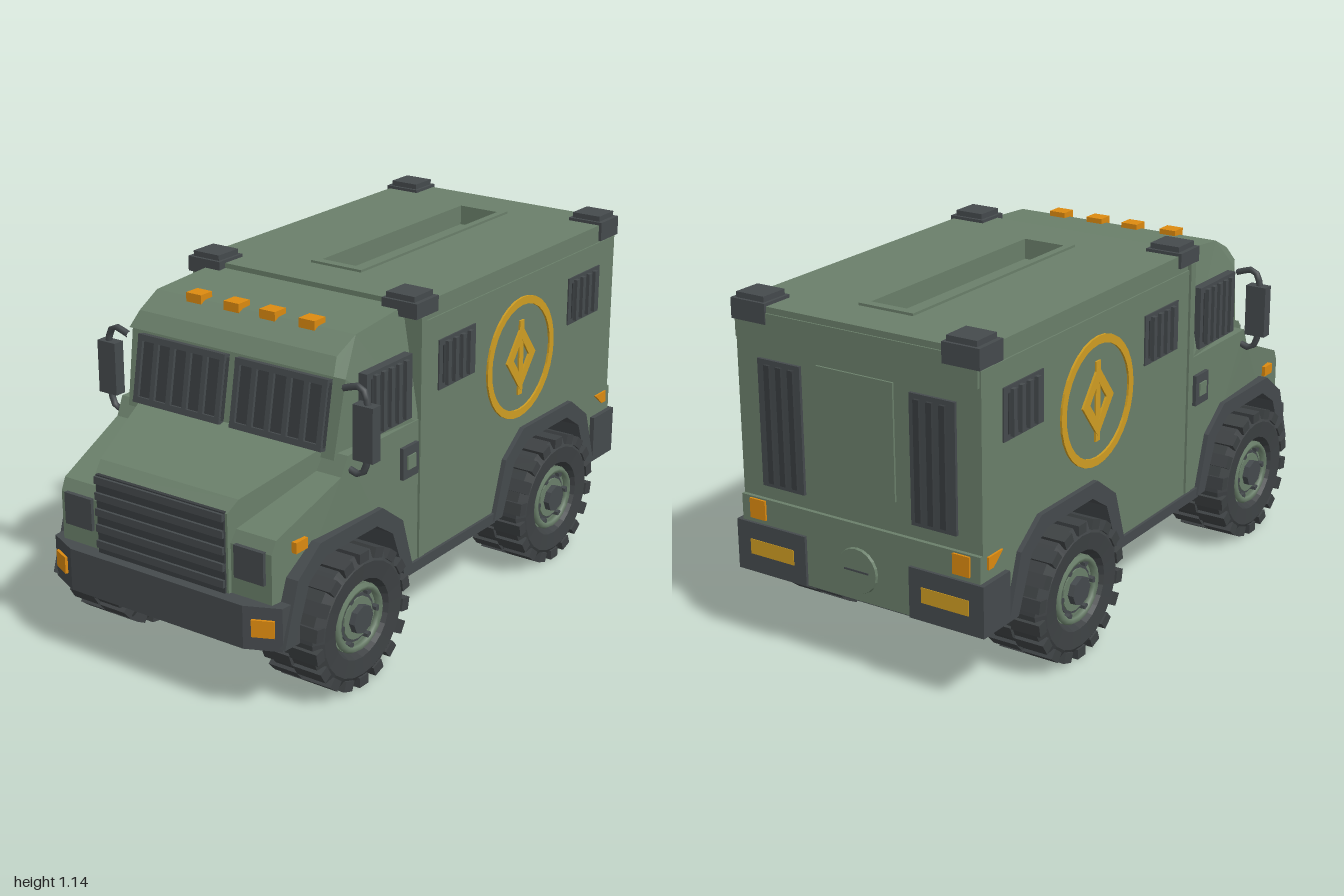
import * as THREE from 'three';

const mat = (name, color) => {
  const m = new THREE.MeshStandardMaterial({ color });
  m.name = name;
  return m;
};

export function createModel() {
  const green = mat('armour green', 0x6a7f6a);
  const trim = mat('dark trim', 0x454a4d);
  const rubber = mat('tyre rubber', 0x3d4143);
  const glass = mat('dark glass', 0x383c3f);
  const orange = mat('lamp orange', 0xdc8a10);
  const gold = mat('gold paint', 0xcf9d22);

  const truck = new THREE.Group();
  truck.name = 'armouredTruck';

  const add = (name, geo, m, parent = truck) => {
    const mesh = new THREE.Mesh(geo, m);
    mesh.name = name;
    parent.add(mesh);
    return mesh;
  };
  const box = (name, m, x0, x1, y0, y1, z0, z1, parent) => {
    const mesh = add(name, new THREE.BoxGeometry(Math.abs(x1 - x0), Math.abs(y1 - y0), Math.abs(z1 - z0)), m, parent);
    mesh.position.set((x0 + x1) / 2, (y0 + y1) / 2, (z0 + z1) / 2);
    return mesh;
  };
  const shapeOf = (pts) => new THREE.Shape(pts.map(([x, y]) => new THREE.Vector2(x, y)));
  // Side profile (x, y) extruded across the width; widthAt gives the half width at a point
  const sideExtrude = (pts, widthAt) => {
    const g = new THREE.ExtrudeGeometry(shapeOf(pts), { depth: 2, bevelEnabled: false });
    const p = g.attributes.position;
    for (let i = 0; i < p.count; i++) p.setZ(i, (p.getZ(i) > 1 ? 1 : -1) * widthAt(p.getX(i), p.getY(i)));
    g.computeVertexNormals();
    return g;
  };
  // Plan shape (x, z) extruded upwards from y0
  const planExtrude = (shape, y0, height) => {
    const g = new THREE.ExtrudeGeometry(shape, { depth: height, bevelEnabled: false });
    return g.rotateX(-Math.PI / 2).translate(0, y0, 0);
  };
  const flat = (g) => {
    const f = g.toNonIndexed();
    f.computeVertexNormals();
    return f;
  };
  // Wheel arch polyline, left to right around centre cx
  const arch = (cx, half) => [...half.map(([x, y]) => [cx - x, y]), ...[...half].reverse().map(([x, y]) => [cx + x, y])];
  const NOTCH = [[0.31, 0.26], [0.24, 0.445], [0.145, 0.505]];
  const OUTER = [[0.335, 0.25], [0.27, 0.45], [0.16, 0.53]];
  const INNER = [[0.285, 0.25], [0.215, 0.425], [0.13, 0.48]];
  const AXLES = [-0.62, 0.53];

  // Cargo body and roof with a recessed slot
  add('cargoBody', sideExtrude([[-0.24, 0.26], ...arch(0.53, NOTCH), [0.975, 0.26], [0.975, 1.06], [-0.24, 1.06]], () => 0.445), green);
  const rect = (x0, x1, z) => [[x0, -z], [x1, -z], [x1, z], [x0, z]];
  const roof = shapeOf(rect(-0.24, 0.98, 0.44));
  const slot = shapeOf(rect(-0.04, 0.79, 0.075));
  roof.holes.push(slot);
  add('roof', planExtrude(roof, 1.06, 0.06), green);
  const rim = shapeOf(rect(-0.07, 0.82, 0.1));
  rim.holes.push(slot);
  add('slotRim', planExtrude(rim, 1.118, 0.01), green);

  // Cab: lower shell with fenders, upper shell, bonnet
  add('cabLower', sideExtrude([[-0.22, 0.26], [-0.22, 0.75], [-0.62, 0.75], [-0.65, 0.69], [-0.93, 0.58], [-0.95, 0.54],
    [-0.95, 0.26], ...arch(-0.62, NOTCH)], (x) => 0.445 - Math.max(0, -0.62 - x) * 0.1), green);
  add('cabUpper', sideExtrude([[-0.22, 0.72], [-0.22, 1.105], [-0.5, 1.085], [-0.59, 1.04], [-0.625, 0.99], [-0.59, 0.975], [-0.635, 0.73]],
    (x, y) => 0.445 - Math.max(0, y - 0.97) * 0.5 - Math.max(0, -0.5 - x) * 0.3), green);
  add('bonnet', sideExtrude([[-0.6, 0.4], [-0.6, 0.765], [-0.64, 0.755], [-0.92, 0.67], [-0.96, 0.635], [-0.96, 0.36]],
    (x) => 0.36 + (x + 0.62) * 0.3), green);

  // Windscreen panes with slim bars
  const screen = new THREE.Group();
  screen.name = 'windscreen';
  screen.position.set(-0.616, 0.86, 0);
  screen.rotation.z = -0.18;
  truck.add(screen);
  for (const s of [-1, 1]) {
    box('windscreenPane', glass, -0.01, 0.006, -0.1, 0.1, s * 0.02, s * 0.37, screen);
    for (const y of [-0.1, 0.1]) box('windscreenFrame', trim, -0.02, 0.005, y - 0.01, y + 0.01, s * 0.02, s * 0.37, screen);
    for (let i = 0; i < 6; i++) {
      const z = s * (0.03 + i * 0.066);
      box('windscreenBar', trim, -0.02, 0.005, -0.1, 0.1, z - 0.009, z + 0.009, screen);
    }
  }

  // Grille and front bumper
  box('grilleBack', glass, -0.967, -0.95, 0.38, 0.64, -0.25, 0.25);
  for (let i = 0; i < 5; i++) box('grilleSlat', trim, -0.976, -0.955, 0.4 + i * 0.053, 0.424 + i * 0.053, -0.25, 0.25);
  add('frontBumper', planExtrude(shapeOf([[-1, -0.34], [-0.95, -0.45], [-0.875, -0.455], [-0.875, 0.455], [-0.95, 0.45], [-1, 0.34]]), 0.24, 0.14), trim);

  // Rear face: door panel, hatch, sill and eaves
  box('rearSill', green, 0.97, 0.988, 0.25, 0.5, -0.445, 0.445);
  box('rearEaves', green, 0.97, 0.985, 1.01, 1.1, -0.44, 0.44);
  box('rearDoor', green, 0.97, 0.982, 0.6, 0.97, -0.14, 0.14);
  const hatch = add('rearHatch', flat(new THREE.CylinderGeometry(0.072, 0.076, 0.014, 20)), green);
  hatch.rotation.z = -Math.PI / 2;
  hatch.position.set(0.99, 0.35, 0);
  box('hatchSlot', trim, 0.99, 0.999, 0.348, 0.354, -0.045, 0.045);

  // Underside, arch liners and axles
  box('chassis', trim, -0.94, 0.96, 0.245, 0.5, -0.27, 0.27);
  box('sideSkirts', trim, -0.3, 0.21, 0.24, 0.275, -0.455, 0.455);
  box('rearFloor', trim, 0.85, 0.975, 0.24, 0.262, -0.445, 0.445);
  for (const cx of AXLES) {
    add('archFlares', sideExtrude([...arch(cx, OUTER), ...arch(cx, INNER).reverse()], () => 0.462), trim);
    const axle = add('axle', flat(new THREE.CylinderGeometry(0.045, 0.045, 0.7, 10)), trim);
    axle.rotation.x = Math.PI / 2;
    axle.position.set(cx, 0.22, 0);
    box('axleHousing', trim, cx - 0.07, cx + 0.07, 0.16, 0.27, -0.15, 0.15);
  }

  // Wheels: tyre, staggered tread blocks, green rim, dark hub and bolts
  const tyreProfile = [[0.11, -0.08], [0.14, -0.1], [0.2, -0.105], [0.235, -0.085], [0.235, 0.085], [0.2, 0.105], [0.14, 0.1], [0.115, 0.05]];
  const tyreGeo = flat(new THREE.LatheGeometry(tyreProfile.map(([r, y]) => new THREE.Vector2(r, y)), 24).rotateX(Math.PI / 2));
  const disc = (r, h, n) => flat(new THREE.CylinderGeometry(r, r, h, n).rotateX(Math.PI / 2));
  const makeWheel = () => {
    const w = new THREE.Group();
    w.name = 'wheel';
    add('tyre', tyreGeo, rubber, w);
    const tread = new THREE.BoxGeometry(0.036, 0.045, 0.105);
    for (let i = 0; i < 36; i++) {
      const a = (i / 36) * Math.PI * 2;
      const t = add('treadBlock', tread, rubber, w);
      t.position.set(Math.cos(a) * 0.226, Math.sin(a) * 0.226, i % 2 ? 0.054 : -0.054);
      t.rotation.z = a;
    }
    add('rimDisc', disc(0.12, 0.15, 20), green, w);
    add('rimRing', new THREE.TorusGeometry(0.108, 0.013, 5, 20).translate(0, 0, 0.085), green, w);
    add('rimDish', disc(0.085, 0.16, 16), trim, w);
    add('rimCentre', disc(0.074, 0.17, 16), green, w);
    add('hub', disc(0.05, 0.21, 8), trim, w);
    for (let i = 0; i < 6; i++) {
      const a = (i / 6) * Math.PI * 2;
      add('wheelBolt', disc(0.012, 0.02, 6), trim, w).position.set(Math.cos(a) * 0.092, Math.sin(a) * 0.092, 0.083);
    }
    w.scale.y = 0.92;
    return w;
  };

  // Barred side window on side s
  const sideWindow = (s, x0, x1, y0, y1, bars) => {
    const g = new THREE.Group();
    g.name = 'barredWindow';
    truck.add(g);
    box('windowFrame', trim, x0, x1, y0, y1, s * 0.42, s * 0.45, g);
    box('windowPane', glass, x0 + 0.02, x1 - 0.02, y0 + 0.02, y1 - 0.02, s * 0.45, s * 0.453, g);
    for (let i = 1; i <= bars; i++) {
      const x = x0 + ((x1 - x0) * i) / (bars + 1);
      box('windowBar', trim, x - 0.009, x + 0.009, y0 + 0.01, y1 - 0.01, s * 0.45, s * 0.463, g);
    }
  };

  // Gold ring with a plain lozenge and bar
  const ring = new THREE.Shape().absarc(0, 0, 0.21, 0, Math.PI * 2);
  ring.holes.push(new THREE.Path().absarc(0, 0, 0.183, 0, Math.PI * 2));
  const lozenge = (x, y) => [[x, 0], [0, y], [-x, 0], [0, -y]];
  const diamond = shapeOf(lozenge(0.09, 0.115));
  diamond.holes.push(shapeOf(lozenge(0.048, 0.065)));
  const plate = { depth: 0.008, bevelEnabled: false, curveSegments: 16 };

  for (const s of [-1, 1]) {
    for (const cx of AXLES) {
      const w = makeWheel();
      w.position.set(cx, 0.229, s * 0.4);
      if (s < 0) w.rotation.y = Math.PI;
      truck.add(w);
    }
    sideWindow(s, -0.53, -0.29, 0.77, 0.98, 5);
    sideWindow(s, -0.14, 0.07, 0.815, 0.98, 4);
    sideWindow(s, 0.66, 0.87, 0.815, 0.98, 4);
    box('gunPort', trim, -0.345, -0.26, 0.58, 0.685, s * 0.44, s * 0.458);
    box('gunPortCover', green, -0.325, -0.28, 0.61, 0.655, s * 0.45, s * 0.463);
    box('doorPost', green, -0.245, -0.215, 0.28, 1.08, s * 0.44, s * 0.453);

    for (const [name, shape] of [['sideRing', ring], ['sideLozenge', diamond]]) {
      add(name, new THREE.ExtrudeGeometry(shape, plate), gold).position.set(0.355, 0.785, s > 0 ? 0.444 : -0.452);
    }
    box('lozengeBar', gold, 0.342, 0.368, 0.655, 0.915, s * 0.444, s * 0.451);

    // Roof corner caps
    for (const [x0, x1, y0] of [[-0.27, -0.15, 1.08], [0.87, 0.988, 1.065]]) {
      box('cornerCap', trim, x0, x1, y0, 1.13, s * 0.32, s * 0.45);
      box('cornerCapTop', trim, x0 + 0.01, x1 - 0.01, 1.13, 1.148, s * 0.33, s * 0.435);
    }

    // Rear windows, bumper corners and lamps
    box('rearWindow', trim, 0.965, 0.985, 0.545, 0.955, s * 0.2, s * 0.36);
    for (let i = 0; i < 3; i++) box('rearWindowBar', glass, 0.98, 0.994, 0.56, 0.94, s * (0.22 + i * 0.045), s * (0.24 + i * 0.045));
    box('rearBumper', trim, 0.86, 0.998, 0.25, 0.415, s * 0.195, s * 0.462);
    box('rearBumperLamp', gold, 0.99, 1, 0.31, 0.36, s * 0.24, s * 0.41);
    box('rearIndicator', orange, 0.975, 0.995, 0.43, 0.495, s * 0.35, s * 0.41);
    add('sideIndicator', new THREE.ExtrudeGeometry(shapeOf([[0.88, 0.49], [0.93, 0.45], [0.955, 0.45], [0.955, 0.49]]), plate), orange)
      .position.z = s > 0 ? 0.444 : -0.452;

    // Front lamps
    box('headlamp', trim, -0.962, -0.93, 0.44, 0.545, s * 0.28, s * 0.39);
    box('fenderIndicator', orange, -0.865, -0.81, 0.52, 0.555, s * 0.4, s * 0.438);
    const lamp = box('bumperLamp', orange, -0.99, -0.965, 0.285, 0.34, s * 0.36, s * 0.43);
    lamp.position.x = -0.971;
    lamp.rotation.y = s * 0.43;

    // Mirrors on looped arms
    box('mirror', trim, -0.625, -0.585, 0.745, 0.92, s * 0.465, s * 0.538);
    const arm = new THREE.CatmullRomCurve3([[0.42, 0.955], [0.48, 0.97], [0.502, 0.94], [0.502, 0.73], [0.48, 0.695], [0.42, 0.71]]
      .map(([z, y]) => new THREE.Vector3(-0.605, y, s * z)));
    add('mirrorArm', new THREE.TubeGeometry(arm, 16, 0.011, 6), trim);
  }

  // Roof marker lamps
  for (const z of [-0.22, -0.07, 0.07, 0.22]) {
    box('markerLamp', orange, -0.52, -0.465, 1.06, 1.105, z - 0.03, z + 0.03);
  }
  return truck;
}
